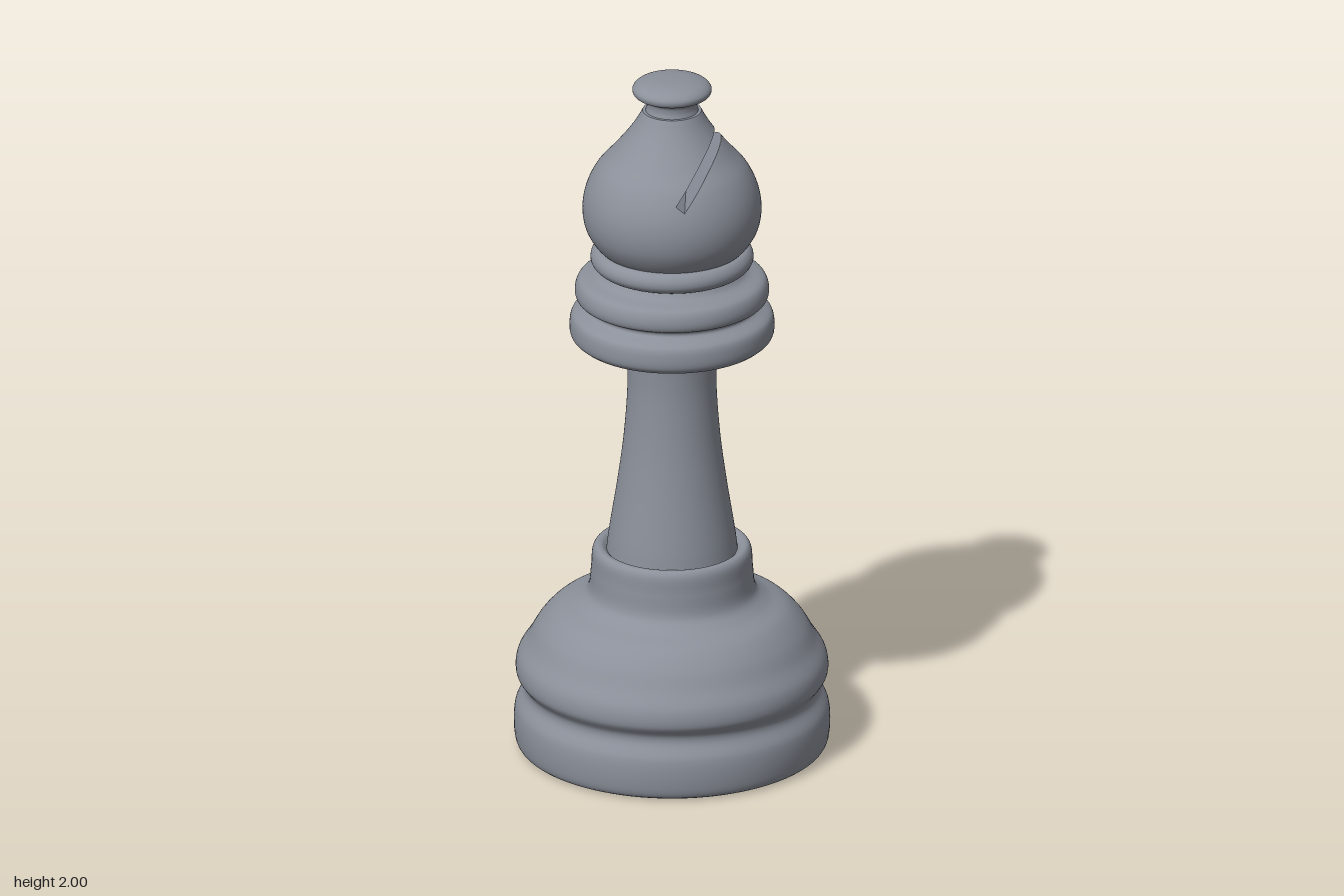
import * as THREE from 'three';
import { mergeGeometries } from 'three/addons/utils/BufferGeometryUtils.js';

const SIDES = 96;

// Smooth curve through [radius, height] pairs
function smooth(pairs, steps = 8) {
  const curve = new THREE.CatmullRomCurve3(pairs.map(([r, y]) => new THREE.Vector3(r, y, 0)));
  return curve.getPoints((pairs.length - 1) * steps).map(p => new THREE.Vector2(Math.max(p.x, 0), p.y));
}

// Turned part: each run is smooth, with a sharp edge between runs
function turned(name, material, ...runs) {
  const parts = runs.map(run =>
    new THREE.LatheGeometry(run.length === 2 ? run.map(p => new THREE.Vector2(...p)) : smooth(run), SIDES));
  const mesh = new THREE.Mesh(mergeGeometries(parts), material);
  mesh.name = name;
  return mesh;
}

// Slanted slot, open at its upper end and cut right through along z
const slot = { x: 0.028, y: 1.696, half: 0.015, dx: 0.59, dy: 0.807 };
const across = (x, y) => (x - slot.x) * slot.dy - (y - slot.y) * slot.dx;
const along = (x, y) => (x - slot.x) * slot.dx + (y - slot.y) * slot.dy;
const slotPoint = (s, t) => [slot.x + s * slot.dy + t * slot.dx, slot.y - s * slot.dx + t * slot.dy];
const slotSides = [
  (x, y) => slot.half - across(x, y),
  (x, y) => slot.half + across(x, y),
  (x, y) => along(x, y),
];

// Divide a polygon by a plane into its inner and outer pieces
function divide(poly, f) {
  const inner = [], outer = [];
  poly.forEach((a, i) => {
    const b = poly[(i + 1) % poly.length];
    const fa = f(a[0], a[1]), fb = f(b[0], b[1]);
    (fa >= 0 ? inner : outer).push(a);
    if ((fa >= 0) !== (fb >= 0)) {
      const k = fa / (fa - fb);
      const cut = a.map((v, j) => v + (b[j] - v) * k);
      inner.push(cut);
      outer.push(cut);
    }
  });
  return [inner, outer];
}

function buildGeometry(position, normal) {
  const g = new THREE.BufferGeometry();
  g.setAttribute('position', new THREE.Float32BufferAttribute(position, 3));
  if (normal) g.setAttribute('normal', new THREE.Float32BufferAttribute(normal, 3));
  else g.computeVertexNormals();
  return g;
}

// Turned surface with the slot removed
function slottedShell(profile) {
  const source = new THREE.LatheGeometry(profile, SIDES).toNonIndexed();
  const p = source.attributes.position, n = source.attributes.normal;
  const position = [], normal = [];
  for (let i = 0; i < p.count; i += 3) {
    let rest = [0, 1, 2].map(k => [
      p.getX(i + k), p.getY(i + k), p.getZ(i + k), n.getX(i + k), n.getY(i + k), n.getZ(i + k)]);
    for (const side of slotSides) {
      if (rest.length < 3) break;
      const [inner, outer] = divide(rest, side);
      for (let k = 1; k + 1 < outer.length; k++) {
        for (const v of [outer[0], outer[k], outer[k + 1]]) {
          position.push(v[0], v[1], v[2]);
          normal.push(v[3], v[4], v[5]);
        }
      }
      rest = inner;
    }
  }
  return buildGeometry(position, normal);
}

// Flat walls lining the slot, each reaching out to the turned surface
function slotWalls(profile) {
  const radiusAt = y => {
    const i = Math.max(1, profile.findIndex(q => q.y >= y));
    const a = profile[i - 1], b = profile[i];
    return a.x + (b.x - a.x) * (y - a.y) / (b.y - a.y);
  };
  const exit = s => {
    let low = 0, high = 0.24;
    for (let i = 0; i < 30; i++) {
      const mid = (low + high) / 2;
      const [x, y] = slotPoint(s, mid);
      if (x < radiusAt(y)) low = mid; else high = mid;
    }
    return low;
  };
  const h = slot.half;
  const path = [[h, exit(h)], [h, 0], [-h, 0], [-h, exit(-h)]];
  const position = [];
  for (let w = 0; w < 3; w++) {
    const row = [];
    const steps = 32;
    for (let i = 0; i <= steps; i++) {
      const k = i / steps;
      const [x, y] = slotPoint(
        path[w][0] + (path[w + 1][0] - path[w][0]) * k,
        path[w][1] + (path[w + 1][1] - path[w][1]) * k);
      row.push([x, y, Math.sqrt(Math.max(0, radiusAt(y) ** 2 - x * x))]);
    }
    for (let i = 0; i < steps; i++) {
      const [ax, ay, az] = row[i], [bx, by, bz] = row[i + 1];
      position.push(ax, ay, -az, bx, by, -bz, bx, by, bz);
      position.push(ax, ay, -az, bx, by, bz, ax, ay, az);
    }
  }
  return buildGeometry(position);
}

export function createModel() {
  const grey = new THREE.MeshStandardMaterial({ color: 0x8b909a });
  grey.name = 'slate grey';
  const model = new THREE.Group();
  model.name = 'chessBishop';

  // Broad foot with two bulges and a raised socket
  model.add(turned('base', grey,
    [[0, 0], [0.41, 0]],
    [[0.41, 0], [0.43, 0.012], [0.439, 0.05], [0.435, 0.12], [0.412, 0.165], [0.412, 0.185],
      [0.433, 0.22], [0.43, 0.265], [0.4, 0.315], [0.37, 0.365], [0.325, 0.41], [0.265, 0.438],
      [0.235, 0.465], [0.225, 0.53], [0.22, 0.585], [0.21, 0.598], [0.195, 0.598], [0.18, 0.585]]));

  // Tapered stem flaring under the collar
  model.add(turned('stem', grey,
    [[0.183, 0.58], [0.177, 0.63], [0.152, 0.79], [0.135, 0.92], [0.125, 1.05], [0.124, 1.12],
      [0.128, 1.18], [0.142, 1.225]]));

  // Double collar
  model.add(turned('collar', grey,
    [[0.12, 1.22], [0.265, 1.22]],
    [[0.265, 1.22], [0.281, 1.235], [0.285, 1.265], [0.277, 1.297], [0.24, 1.32], [0.24, 1.33],
      [0.265, 1.345], [0.27, 1.37], [0.258, 1.4], [0.21, 1.418], [0.192, 1.44]]));

  // Thin ring under the head
  model.add(turned('ring', grey,
    [[0.18, 1.432], [0.21, 1.438], [0.225, 1.455], [0.225, 1.475], [0.212, 1.492], [0.18, 1.497]]));

  // Slotted head
  const profile = smooth([[0.19, 1.485], [0.215, 1.51], [0.24, 1.555], [0.249, 1.61], [0.24, 1.67],
    [0.212, 1.73], [0.165, 1.785], [0.125, 1.835], [0.098, 1.875], [0.082, 1.905]]);
  const head = new THREE.Group();
  head.name = 'head';
  const shell = new THREE.Mesh(slottedShell(profile), grey);
  shell.name = 'headShell';
  const walls = new THREE.Mesh(slotWalls(profile), grey);
  walls.name = 'slotWalls';
  head.add(shell, walls);
  model.add(head);

  // Finial neck and button
  model.add(turned('finial', grey,
    [[0.082, 1.905], [0.07, 1.905]],
    [[0.074, 1.903], [0.07, 1.92], [0.073, 1.937], [0.09, 1.946], [0.107, 1.956], [0.11, 1.97],
      [0.098, 1.984], [0.06, 1.996], [0, 2]]));

  return model;
}
